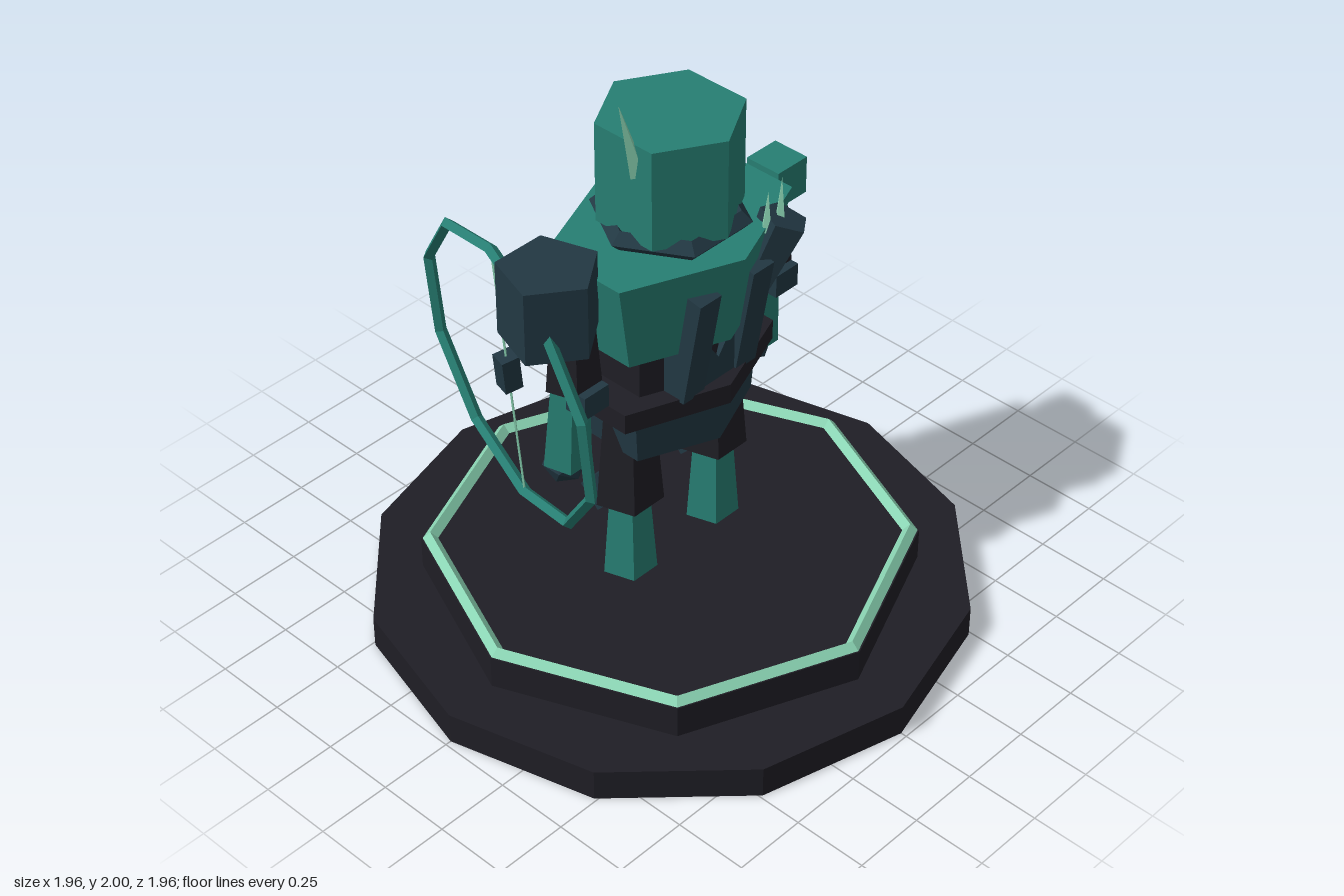
import * as THREE from 'three';

const material = (color) => new THREE.MeshStandardMaterial({ color, flatShading: true });
const TEAL = material(0x277f73);
const NAVY = material(0x223843);
const BLACK = material(0x1f1e25);
const MINT = material(0x8bd5b4);

export function createModel() {
  const model = new THREE.Group();
  model.name = 'armouredFigure';

  const add = (name, geometry, mat, x, y, z, parent = model) => {
    const mesh = new THREE.Mesh(geometry, mat);
    mesh.name = name;
    mesh.position.set(x, y, z);
    parent.add(mesh);
    return mesh;
  };

  // Upright prism between two heights, optionally squashed front to back
  const prism = (name, mat, sides, rTop, rBottom, y0, y1, x = 0, z = 0, depth = 1, turn = 0) => {
    const g = new THREE.CylinderGeometry(rTop, rBottom, y1 - y0, sides);
    g.rotateY(turn).scale(1, 1, depth);
    return add(name, g, mat, x, (y0 + y1) / 2, z);
  };

  // Tapered prism running from one point to another
  const spike = (name, mat, sides, rStart, rEnd, start, end) => {
    const a = new THREE.Vector3(...start);
    const d = new THREE.Vector3(...end).sub(a);
    const mid = a.clone().addScaledVector(d, 0.5);
    const mesh = add(name, new THREE.CylinderGeometry(rEnd, rStart, d.length(), sides), mat, mid.x, mid.y, mid.z);
    mesh.quaternion.setFromUnitVectors(new THREE.Vector3(0, 1, 0), d.normalize());
    return mesh;
  };

  const box = (name, mat, w, h, d, x, y, z) => add(name, new THREE.BoxGeometry(w, h, d), mat, x, y, z);

  // Flat ring lying level
  const ring = (name, mat, radius, tube, sides, y) =>
    add(name, new THREE.TorusGeometry(radius, tube, 4, sides).rotateX(Math.PI / 2), mat, 0, y, 0);

  // Stepped base
  prism('lowerBase', BLACK, 12, 0.98, 0.98, 0, 0.11);
  prism('upperBase', BLACK, 8, 0.8, 0.8, 0.11, 0.225);
  ring('baseRim', MINT, 0.77, 0.025, 8, 0.225);

  // Torso
  prism('pelvis', NAVY, 6, 0.31, 0.295, 0.74, 0.91, 0, 0, 0.71);
  prism('belt', BLACK, 6, 0.38, 0.38, 0.9, 0.97, 0, 0, 0.66);
  prism('abdomen', BLACK, 6, 0.27, 0.27, 0.96, 1.16, 0, 0, 0.7);
  prism('chest', TEAL, 6, 0.43, 0.355, 1.14, 1.46, 0, 0, 0.7);
  ring('collar', NAVY, 0.215, 0.035, 6, 1.49);

  // Dark plate across the belly, notched at the top
  const plate = new THREE.Shape([
    [-0.16, 0.96], [0.16, 0.96], [0.16, 1.15], [0.07, 1.15], [0, 1.05], [-0.07, 1.15], [-0.16, 1.15],
  ].map(([x, y]) => new THREE.Vector2(x, y)));
  add('bellyPlate', new THREE.ExtrudeGeometry(plate, { depth: 0.1, bevelEnabled: false }), NAVY, 0, 0, 0.1);

  // Head and horn
  prism('head', TEAL, 6, 0.23, 0.23, 1.5, 1.84);
  spike('horn', MINT, 4, 0.03, 0, [-0.18, 1.73, 0.04], [-0.255, 1.995, 0.04]);

  // Limbs and harness, repeated on both sides
  for (const s of [-1, 1]) {
    const side = s > 0 ? 'left' : 'right';
    const legX = 0.19 * s;
    const armX = 0.42 * s;
    const pent = (part, mat, rTop, rBottom, y0, y1, x, z = 0) =>
      prism(side + part, mat, 5, rTop, rBottom, y0, y1, x, z, 1, Math.PI);

    pent('Boot', TEAL, 0.07, 0.09, 0.225, 0.49, legX);
    pent('Thigh', BLACK, 0.085, 0.112, 0.51, 0.84, legX);
    const knee = box(side + 'Knee', NAVY, 0.11, 0.1, 0.1, legX, 0.5, -0.085);
    knee.rotation.x = 0.75;

    pent('UpperArm', BLACK, 0.065, 0.09, 1.08, 1.38, armX);
    box(side + 'Elbow', NAVY, 0.1, 0.08, 0.08, armX, 1.06, 0.06);
    const forearm = pent('Forearm', TEAL, 0.062, 0.078, 0.77, 1.08, armX, -0.025);
    forearm.rotation.x = 0.06;
    add(side + 'Hand', new THREE.IcosahedronGeometry(0.07), NAVY, armX, 0.755, -0.045);

    const strap = box(side + 'FrontStrap', NAVY, 0.09, 0.4, 0.1, 0.115 * s, 1.165, 0.19);
    strap.rotation.x = 0.17;
    box(side + 'BackStrap', NAVY, 0.09, 0.2, 0.1, 0.115 * s, 1.22, -0.17);
  }

  // Unequal shoulder guards
  box('leftShoulderGuard', TEAL, 0.13, 0.13, 0.13, 0.472, 1.385, 0);
  prism('rightShoulderGuard', NAVY, 5, 0.157, 0.157, 1.3, 1.55, -0.505, 0);

  // Sheath on the chest with two points sticking out
  spike('chestSheath', NAVY, 5, 0.05, 0.08, [0.13, 1.15, 0.17], [0.235, 1.465, 0.245]);
  spike('sheathPointInner', MINT, 4, 0.02, 0, [0.17, 1.44, 0.23], [0.175, 1.58, 0.23]);
  spike('sheathPointOuter', MINT, 4, 0.02, 0, [0.23, 1.44, 0.23], [0.235, 1.6, 0.23]);

  // Gem and pouch on the back
  add('backGem', new THREE.IcosahedronGeometry(0.045), MINT, 0, 1.345, -0.275);
  box('backPouch', MINT, 0.08, 0.08, 0.08, 0, 0.94, -0.26);

  // Hoop with its string and grip
  const hoop = new THREE.Group();
  hoop.name = 'hoopBow';
  hoop.position.set(-0.475, 1.025, -0.22);
  hoop.rotation.set(0, -(Math.PI / 2 + 0.26), 0.1, 'ZYX');
  model.add(hoop);
  add('hoop', new THREE.TorusGeometry(0.49, 0.02, 4, 10).rotateZ(Math.PI / 2), TEAL, 0, 0, 0, hoop);
  add('string', new THREE.CylinderGeometry(0.004, 0.004, 0.98, 4), MINT, 0, 0, 0, hoop);
  add('grip', new THREE.BoxGeometry(0.06, 0.12, 0.06), NAVY, 0, 0.015, 0, hoop);

  return model;
}
